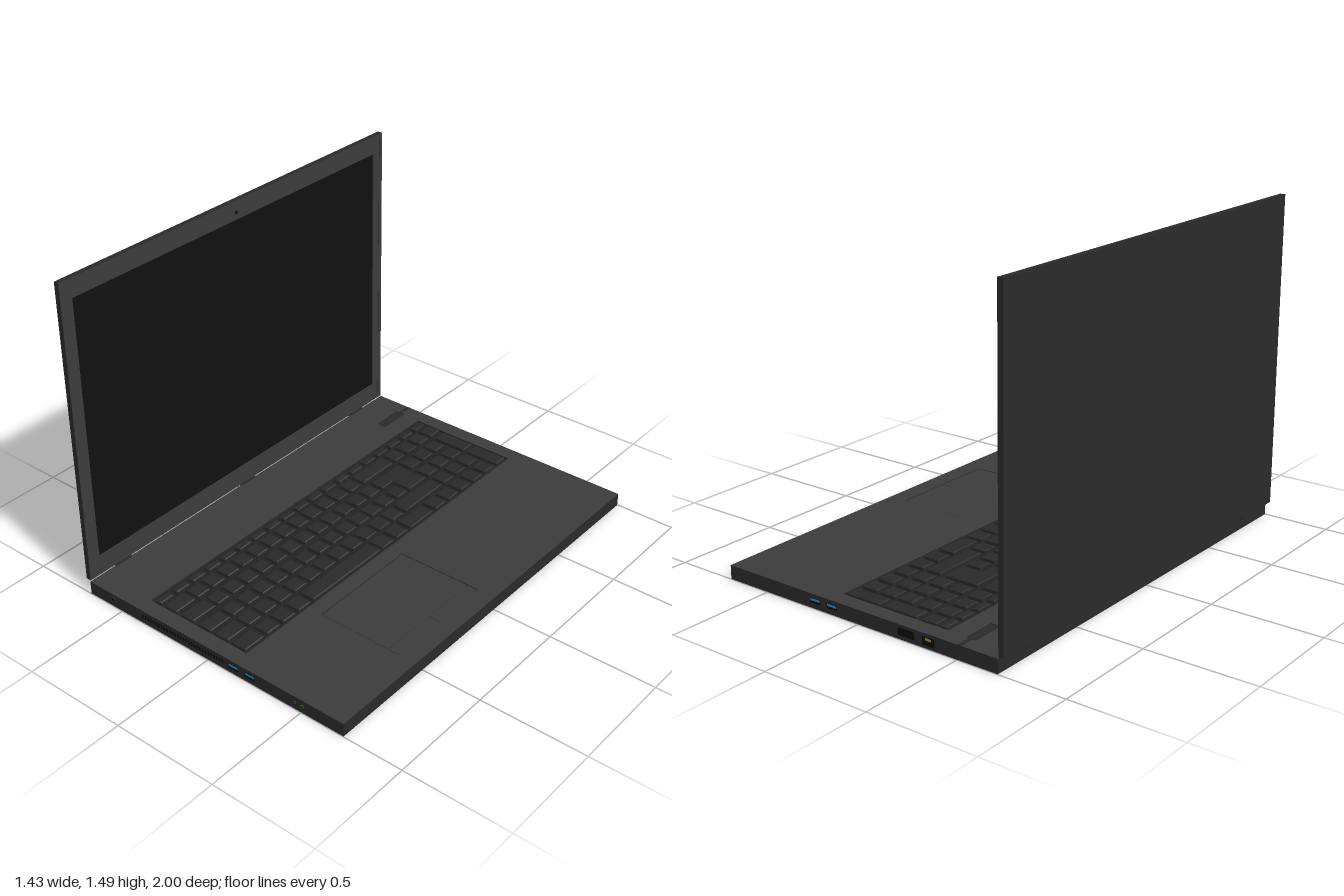
import * as THREE from 'three';

const mat = (color) => new THREE.MeshStandardMaterial({ color });
const M = {
  body: mat(0x3c3c3c), edge: mat(0x2a2a2a), key: mat(0x292929), tray: mat(0x222222),
  dark: mat(0x0c0c0c), screen: mat(0x101010), blue: mat(0x2a86c8),
  green: mat(0x3f8f2a), red: mat(0x8f3a3a), yellow: mat(0xb08a20),
};

// Box given by its limits on each axis
function box(parent, name, x0, x1, y0, y1, z0, z1, material) {
  const mesh = new THREE.Mesh(new THREE.BoxGeometry(x1 - x0, y1 - y0, z1 - z0), material);
  mesh.position.set((x0 + x1) / 2, (y0 + y1) / 2, (z0 + z1) / 2);
  mesh.name = name;
  parent.add(mesh);
}

const rect = (a0, a1, b0, b1) => [[a0, b0], [a1, b0], [a1, b1], [a0, b1]].map(([a, b]) => new THREE.Vector2(a, b));

// Flat plate with rectangular openings, drawn in (x, -z) or (-z, y)
function plate(outer, holes, depth) {
  const shape = new THREE.Shape(rect(...outer));
  holes.forEach((h) => shape.holes.push(new THREE.Path(rect(...h))));
  return new THREE.ExtrudeGeometry(shape, { depth, bevelEnabled: false });
}

// Key cap with a small sloped rim, outline given as [x, z] corners
function keyCap(parent, corners) {
  const bevel = 0.004;
  const shape = new THREE.Shape(corners.map(([x, z]) => new THREE.Vector2(x, -z)));
  const geo = new THREE.ExtrudeGeometry(shape, {
    depth: 0.013, bevelThickness: 0.003, bevelSize: bevel, bevelOffset: -bevel, bevelSegments: 1,
  });
  geo.rotateX(-Math.PI / 2);
  const mesh = new THREE.Mesh(geo, M.key);
  mesh.position.y = 0.051;
  mesh.name = 'key';
  parent.add(mesh);
}

const keyRect = (parent, x0, x1, z0, z1) => keyCap(parent, [[x0, z0], [x0, z1], [x1, z1], [x1, z0]]);

// Evenly spaced keys filling z0 to z1
function keyRun(parent, x0, x1, z0, z1, count, gap = 0.024) {
  const w = (z1 - z0 + gap) / count;
  for (let i = 0; i < count; i++) keyRect(parent, x0, x1, z0 + i * w, z0 + (i + 1) * w - gap);
}

function createKeyboard() {
  const g = new THREE.Group();
  g.name = 'keyboard';
  const R = [[-0.38, -0.348], [-0.33, -0.257], [-0.23, -0.16], [-0.13, -0.06], [-0.038, 0.035], [0.057, 0.132]];
  // Narrow top row
  keyRun(g, ...R[0], -0.915, 0.915, 19);
  // Number pad
  keyRect(g, ...R[1], -0.915, -0.848);
  keyRect(g, R[2][0], R[3][1], -0.915, -0.848);
  keyRect(g, R[4][0], R[5][1], -0.915, -0.848);
  for (let r = 1; r < 6; r++) keyRun(g, ...R[r], -0.825, -0.565, 3);
  // Number row with backspace
  keyRect(g, ...R[1], -0.54, -0.325);
  keyRun(g, ...R[1], -0.303, 0.785, 12);
  keyRect(g, ...R[1], 0.805, 0.915);
  // Upper letter row, with the stepped enter key
  keyCap(g, [[R[2][0], -0.54], [R[2][0], -0.345], [R[2][1], -0.345], [R[2][1], -0.42], [R[3][1], -0.42], [R[3][1], -0.54]]);
  keyRun(g, ...R[2], -0.322, 0.765, 12);
  keyRect(g, ...R[2], 0.785, 0.915);
  // Home row
  keyRun(g, ...R[3], -0.398, 0.78, 13);
  keyRect(g, ...R[3], 0.8, 0.915);
  // Shift row
  keyRect(g, ...R[4], -0.54, -0.27);
  keyRun(g, ...R[4], -0.247, 0.785, 11);
  keyRect(g, ...R[4], 0.805, 0.915);
  // Bottom row with space bar
  keyRun(g, ...R[5], -0.54, -0.37, 2);
  keyRect(g, ...R[5], -0.342, -0.18);
  keyRun(g, ...R[5], -0.157, 0.02, 2);
  keyRect(g, ...R[5], 0.04, 0.49);
  keyRun(g, ...R[5], 0.512, 0.78, 3);
  keyRect(g, ...R[5], 0.803, 0.915);
  return g;
}

function createBase() {
  const g = new THREE.Group();
  g.name = 'base';
  const Z = 0.998;
  box(g, 'lowerCase', -0.692, 0.715, 0, 0.05, -Z, Z, M.edge);
  // Top deck with openings for keyboard, touchpad and power button
  const geo = plate([-0.692, 0.715, -Z, Z], [
    [-0.398, 0.147, -0.925, 0.925], [0.22, 0.628, -0.546, 0.002], [-0.535, -0.487, 0.777, 0.93],
  ], 0.0125);
  geo.rotateX(-Math.PI / 2);
  const deck = new THREE.Mesh(geo, [M.body, M.edge]);
  deck.position.y = 0.05;
  deck.name = 'deck';
  g.add(deck);
  box(g, 'keyboardTray', -0.398, 0.147, 0.049, 0.051, -0.925, 0.925, M.tray);
  g.add(createKeyboard());
  // Touchpad and its two buttons
  box(g, 'touchpad', 0.223, 0.572, 0.05, 0.0618, 0.001, 0.543, M.body);
  box(g, 'touchpadButton', 0.576, 0.625, 0.05, 0.0615, 0.001, 0.27, M.body);
  box(g, 'touchpadButton', 0.576, 0.625, 0.05, 0.0615, 0.274, 0.543, M.body);
  // Power button and the strip behind it
  box(g, 'powerButton', -0.532, -0.49, 0.05, 0.0615, -0.927, -0.78, M.key);
  box(g, 'powerStrip', -0.52, -0.502, 0.06, 0.063, -0.998, -0.93, M.key);
  return g;
}

function createPorts() {
  const g = new THREE.Group();
  g.name = 'ports';
  // Round socket on the +z side of the case
  const jack = (x, y, r, material) => {
    const ring = new THREE.Mesh(new THREE.TorusGeometry(r, r * 0.25, 8, 20), material);
    ring.position.set(x, y, 0.998);
    ring.name = 'socketRing';
    const hole = new THREE.Mesh(new THREE.CylinderGeometry(r, r, 0.002, 20).rotateX(Math.PI / 2), M.dark);
    hole.position.copy(ring.position);
    hole.name = 'socketHole';
    g.add(ring, hole);
  };
  const flat = (name, x0, x1, y0, y1, side, out, material) =>
    box(g, name, x0, x1, y0, y1, side * 0.998 - out, side * 0.998 + out, material);
  // USB pairs on both sides
  for (const side of [1, -1]) {
    for (const x of [0.14, 0.23]) {
      flat('usbSocket', x - 0.027, x + 0.027, 0.022, 0.046, side, 0.001, M.dark);
      flat('usbTongue', x - 0.024, x + 0.024, 0.033, 0.043, side, 0.0018, M.blue);
    }
  }
  // Vent slats and sockets
  for (let i = 0; i < 30; i++) {
    const x = -0.378 + i * 0.0157;
    flat('ventSlot', x, x + 0.009, 0.024, 0.044, 1, 0.0012, M.dark);
  }
  jack(-0.552, 0.033, 0.011, M.edge);
  jack(0.467, 0.032, 0.006, M.red);
  jack(0.505, 0.032, 0.007, M.green);
  // Display and network sockets on the far side
  flat('displaySocket', -0.29, -0.21, 0.018, 0.05, -1, 0.003, M.dark);
  flat('networkSocket', -0.39, -0.33, 0.012, 0.048, -1, 0.0012, M.dark);
  flat('networkContacts', -0.375, -0.345, 0.034, 0.044, -1, 0.0018, M.yellow);
  return g;
}

function createLid() {
  const g = new THREE.Group();
  g.name = 'lid';
  const Z = 0.995, y0 = 0.067, y1 = 1.488;
  box(g, 'lidBack', -0.717, -0.702, y0, y1, -Z, Z, M.edge);
  // Frames facing +x: outer rim and screen bezel
  const frame = (name, outer, hole, depth, material) => {
    const mesh = new THREE.Mesh(plate(outer, [hole], depth).rotateY(Math.PI / 2), material);
    mesh.position.x = -0.702;
    mesh.name = name;
    g.add(mesh);
  };
  frame('lidRim', [-Z, Z, y0, y1], [-0.975, 0.975, 0.085, 1.468], 0.01, [M.body, M.edge]);
  frame('bezel', [-0.975, 0.975, 0.085, 1.468], [-0.933, 0.933, 0.16, 1.4], 0.0085, M.body);
  box(g, 'screen', -0.703, -0.698, 0.16, 1.4, -0.933, 0.933, M.screen);
  const cam = new THREE.Mesh(new THREE.CylinderGeometry(0.008, 0.008, 0.002, 20).rotateZ(Math.PI / 2), M.dark);
  cam.position.set(-0.693, 1.435, 0);
  cam.name = 'webcam';
  g.add(cam);
  // Hinges joining lid and base
  for (const z of [-0.8, 0, 0.8]) box(g, 'hinge', -0.708, -0.685, 0.05, 0.07, z - 0.04, z + 0.04, M.edge);
  return g;
}

export function createModel() {
  const model = new THREE.Group();
  model.name = 'laptop';
  model.add(createBase(), createPorts(), createLid());
  return model;
}
